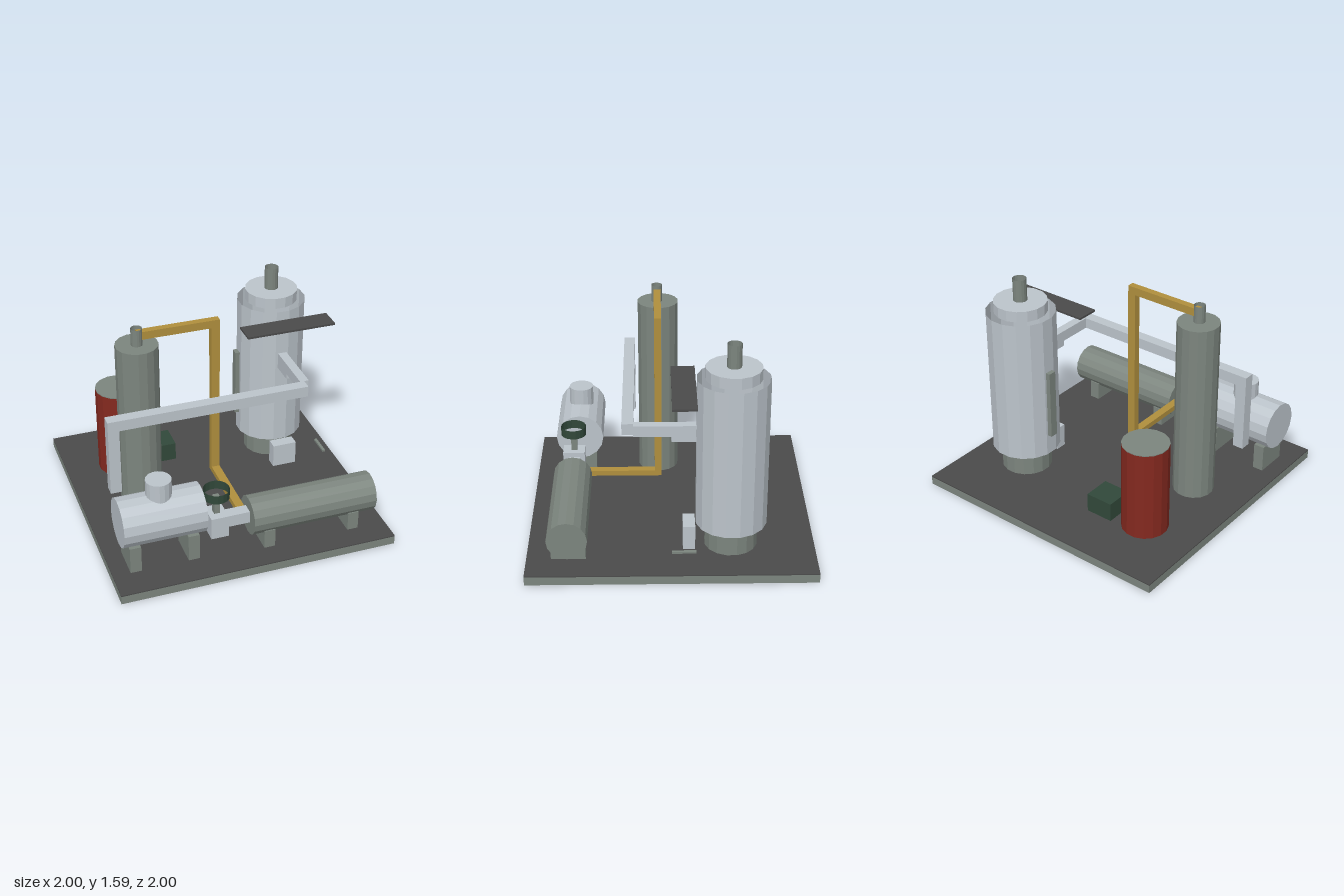
import * as THREE from 'three';

export function createModel() {
  const root = new THREE.Group();
  root.name = 'processPlant';

  const mat = (name, color, extra = {}) => {
    const m = new THREE.MeshStandardMaterial({ color, flatShading: true, ...extra });
    m.name = name;
    return m;
  };
  const steel = mat('paleSteel', 0xbcc4cb, { side: THREE.DoubleSide });
  const grey = mat('greenGrey', 0x7c857e, { side: THREE.DoubleSide });
  const dark = mat('darkDeck', 0x4b4b4b);
  const gold = mat('brassPipe', 0xb08f3d);
  const green = mat('darkGreen', 0x31483a, { side: THREE.DoubleSide });
  const red = mat('rustRed', 0x84291f);

  const add = (name, geometry, material) => {
    const mesh = new THREE.Mesh(geometry, material);
    mesh.name = name;
    root.add(mesh);
    return mesh;
  };

  // Box given by its extents on each axis
  const box = (name, material, [x0, x1], [y0, y1], [z0, z1]) =>
    add(name, new THREE.BoxGeometry(x1 - x0, y1 - y0, z1 - z0), material)
      .position.set((x0 + x1) / 2, (y0 + y1) / 2, (z0 + z1) / 2);

  // Upright cylinder with a facet facing the front; open leaves the ends uncapped
  const upright = (name, material, r, [y0, y1], x, z, open = false) => {
    const g = new THREE.CylinderGeometry(r, r, y1 - y0, 16, 1, open);
    g.rotateY(Math.PI / 16);
    add(name, g, material).position.set(x, (y0 + y1) / 2, z);
  };

  // Cylinder lying along x
  const lying = (name, material, r, [x0, x1], y, z) => {
    const g = new THREE.CylinderGeometry(r, r, x1 - x0, 16);
    g.rotateZ(Math.PI / 2);
    add(name, g, material).position.set((x0 + x1) / 2, y, z);
  };

  // Skid base and deck
  box('base', grey, [-1, 1], [0, 0.062], [-1, 1]);
  box('deck', dark, [-1, 1], [0.062, 0.07], [-1, 1]);

  // Large separator vessel
  const vx = 0.58, vz = -0.415;
  upright('vesselSkirt', grey, 0.185, [0.07, 0.25], vx, vz, true);
  upright('vesselBody', steel, 0.25, [0.25, 1.34], vx, vz, true);
  upright('vesselLid', steel, 0.192, [1.34, 1.42], vx, vz);
  upright('vesselStack', grey, 0.05, [1.42, 1.585], vx, vz, true);
  box('levelGauge', grey, [0.3, 0.333], [0.41, 0.93], [-0.45, -0.39]);
  box('vesselPlatform', dark, [0.25, 0.915], [1.26, 1.275], [-0.165, 0]);
  box('vesselOutletBox', steel, [0.5, 0.68], [0.07, 0.25], [-0.165, -0.08]);
  box('drainRod', grey, [0.87, 0.89], [0.17, 0.185], [-0.165, 0]);

  // Tall column
  upright('column', grey, 0.15, [0.07, 1.42], -0.585, 0.08);
  upright('columnStack', grey, 0.04, [1.42, 1.545], -0.585, 0.087, true);

  // Red drum with grey lid
  upright('redDrum', red, 0.167, [0.07, 0.747], -0.585, -0.5);
  upright('redDrumLid', grey, 0.167, [0.747, 0.753], -0.585, -0.5);

  // Control cabinet
  box('controlCabinet', green, [-0.375, -0.17], [0.07, 0.21], [-0.62, -0.42]);

  // Horizontal pale tank with dome
  lying('paleTank', steel, 0.175, [-0.92, -0.335], 0.42, 0.67);
  upright('paleTankDome', steel, 0.09, [0.56, 0.71], -0.627, 0.665);
  for (const x of [-0.835, -0.42])
    box('paleTankLeg', grey, [x - 0.04, x + 0.04], [0.07, 0.27], [0.55, 0.79]);

  // Horizontal grey drum
  lying('greyDrum', grey, 0.14, [0, 0.915], 0.29, 0.71);
  for (const x of [0.12, 0.75])
    box('greyDrumLeg', grey, [x - 0.04, x + 0.04], [0.07, 0.21], [0.59, 0.83]);

  // Valve with handwheel
  box('valvePipe', steel, [-0.17, 0], [0.25, 0.34], [0.66, 0.745]);
  box('valveBody', steel, [-0.295, -0.17], [0.21, 0.375], [0.63, 0.79]);
  box('valveStem', grey, [-0.255, -0.212], [0.375, 0.51], [0.687, 0.73]);
  upright('handwheel', green, 0.092, [0.503, 0.57], -0.233, 0.71, true);

  // Pale transfer pipe
  box('transferRiser', steel, [-0.875, -0.795], [0.42, 0.92], [0.255, 0.335]);
  box('transferRun', steel, [-0.875, 0.58], [0.92, 1], [0.255, 0.335]);
  box('transferBranch', steel, [0.55, 0.615], [0.92, 1], [0, 0.255]);
  box('transferNozzle', steel, [0.55, 0.615], [0.88, 1], [-0.19, 0]);

  // Brass pipe from column to valve
  box('brassTopRun', gold, [-0.585, 0], [1.462, 1.52], [0.06, 0.11]);
  box('brassDowncomer', gold, [-0.06, 0], [0.275, 1.462], [0.06, 0.11]);
  box('brassLowerRun', gold, [-0.06, 0], [0.275, 0.315], [0.11, 0.67]);

  return root;
}
